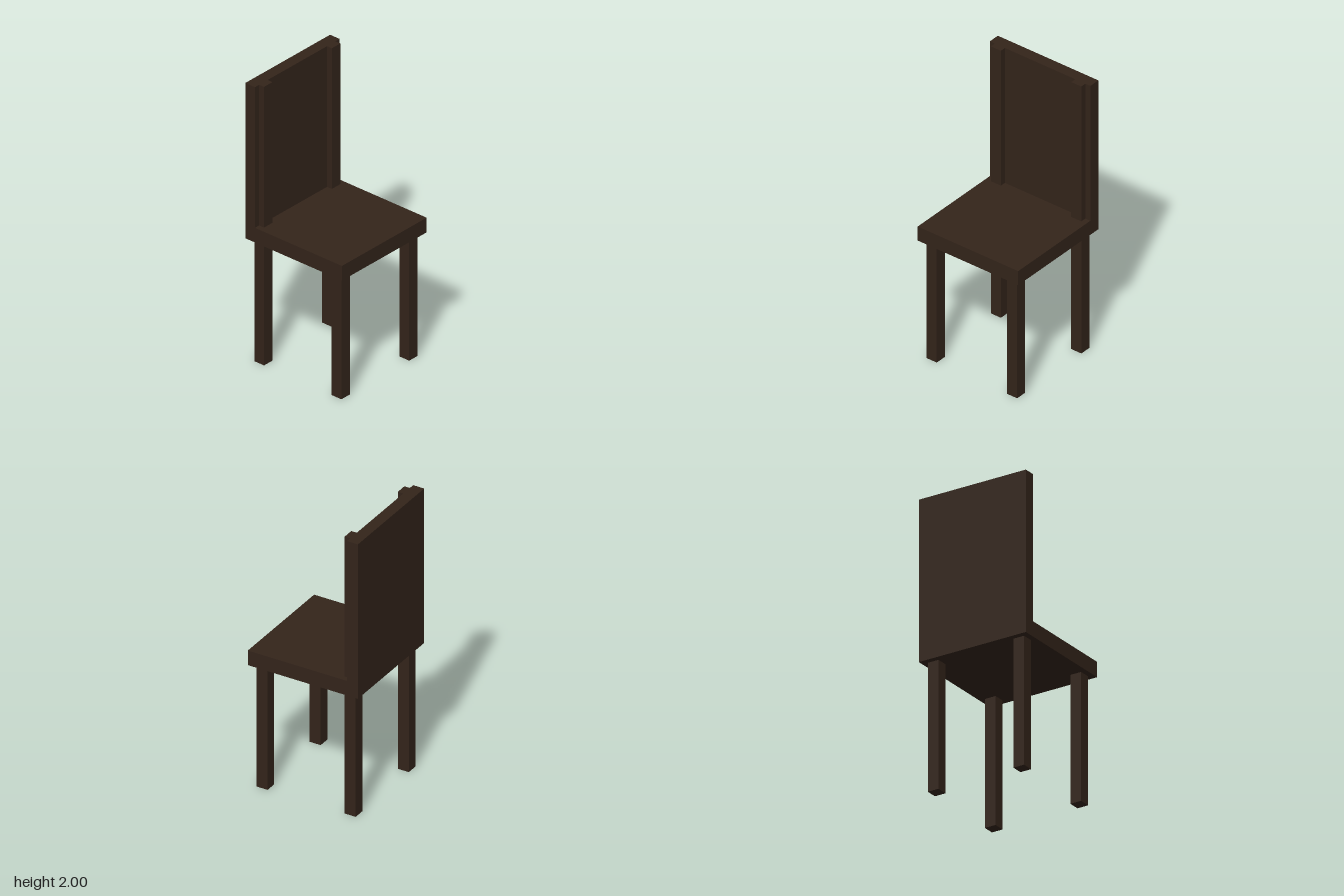
import * as THREE from 'three';

export function createModel() {
  const chair = new THREE.Group();
  chair.name = 'chair';
  const wood = new THREE.MeshStandardMaterial({ color: 0x33241a });

  // Box given by its minimum and maximum corners
  const addBox = (name, [x0, y0, z0], [x1, y1, z1]) => {
    const mesh = new THREE.Mesh(new THREE.BoxGeometry(x1 - x0, y1 - y0, z1 - z0), wood);
    mesh.position.set((x0 + x1) / 2, (y0 + y1) / 2, (z0 + z1) / 2);
    mesh.name = name;
    chair.add(mesh);
  };

  const seatBottom = 0.885, seatTop = 0.99, half = 0.4;

  // Seat slab and flat back panel
  addBox('seat', [-half, seatBottom, -half], [half, seatTop, half]);
  addBox('backPanel', [-half, seatTop, -half], [half, 2, -0.32]);

  for (const [side, x] of [['left', 0.32], ['right', -0.32]]) {
    // Square legs, inset from the seat edges
    for (const [end, z] of [['Front', 0.32], ['Back', -0.32]]) {
      addBox(`${side}${end}Leg`, [x - 0.04, 0, z - 0.04], [x + 0.04, seatBottom, z + 0.04]);
    }
    // Upright above each back leg, standing proud of the panel
    addBox(`${side}BackPost`, [x - 0.04, seatTop, -0.32], [x + 0.04, 2, -0.28]);
  }
  return chair;
}
